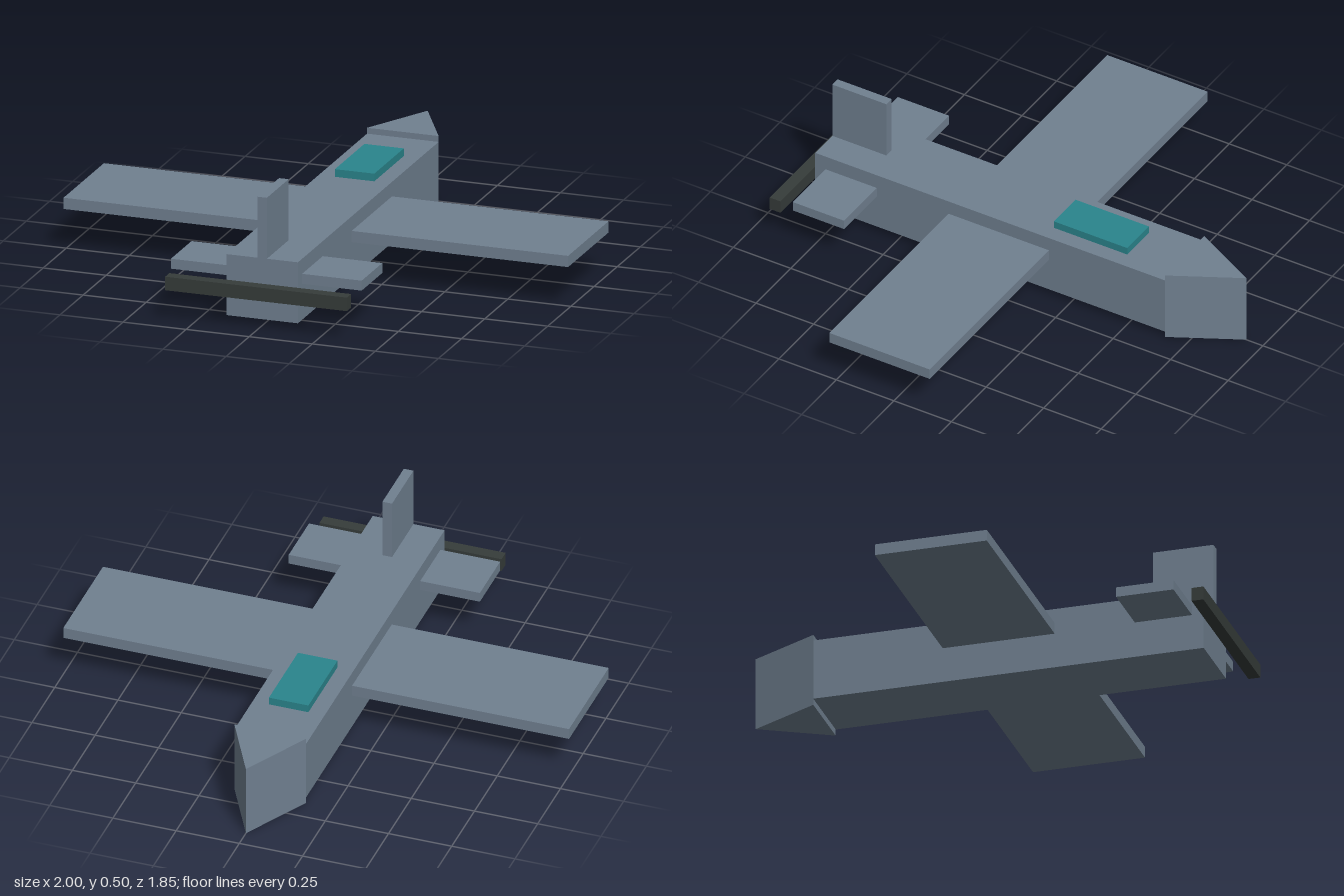
import * as THREE from 'three';

const paint = (name, color) => Object.assign(new THREE.MeshStandardMaterial({ color }), { name });

export function createModel() {
  const slate = paint('slate grey', 0x708090);
  const teal = paint('canopy teal', 0x2a858c);
  const dark = paint('propeller charcoal', 0x363c3a);

  const plane = new THREE.Group();
  plane.name = 'airplane';

  const add = (name, geometry, material) => {
    const mesh = new THREE.Mesh(geometry, material);
    mesh.name = name;
    plane.add(mesh);
    return mesh;
  };

  // Box centred on x = 0, given its half width and its y and z ranges
  const block = (name, material, halfX, [y0, y1], [z0, z1]) => {
    const mesh = add(name, new THREE.BoxGeometry(halfX * 2, y1 - y0, z1 - z0), material);
    mesh.position.set(0, (y0 + y1) / 2, (z0 + z1) / 2);
  };

  block('fuselage', slate, 0.142, [0.025, 0.264], [-0.66, 0.86]);
  block('wing', slate, 1, [0.163, 0.207], [-0.156, 0.28]);
  block('tailplane', slate, 0.378, [0.166, 0.205], [0.592, 0.815]);
  block('tailFin', slate, 0.019, [0.264, 0.503], [0.625, 0.86]);
  block('canopy', teal, 0.078, [0.264, 0.294], [-0.458, -0.139]);
  block('propeller', dark, 0.36, [0.118, 0.171], [0.88, 0.926]);

  // Wedge nose: a triangle in plan, extruded upwards
  const plan = new THREE.Shape([
    new THREE.Vector2(-0.142, 0.66),
    new THREE.Vector2(0.142, 0.66),
    new THREE.Vector2(0, 0.928),
  ]);
  const nose = new THREE.ExtrudeGeometry(plan, { depth: 0.287, bevelEnabled: false });
  nose.rotateX(-Math.PI / 2);
  add('nose', nose, slate);

  return plane;
}
